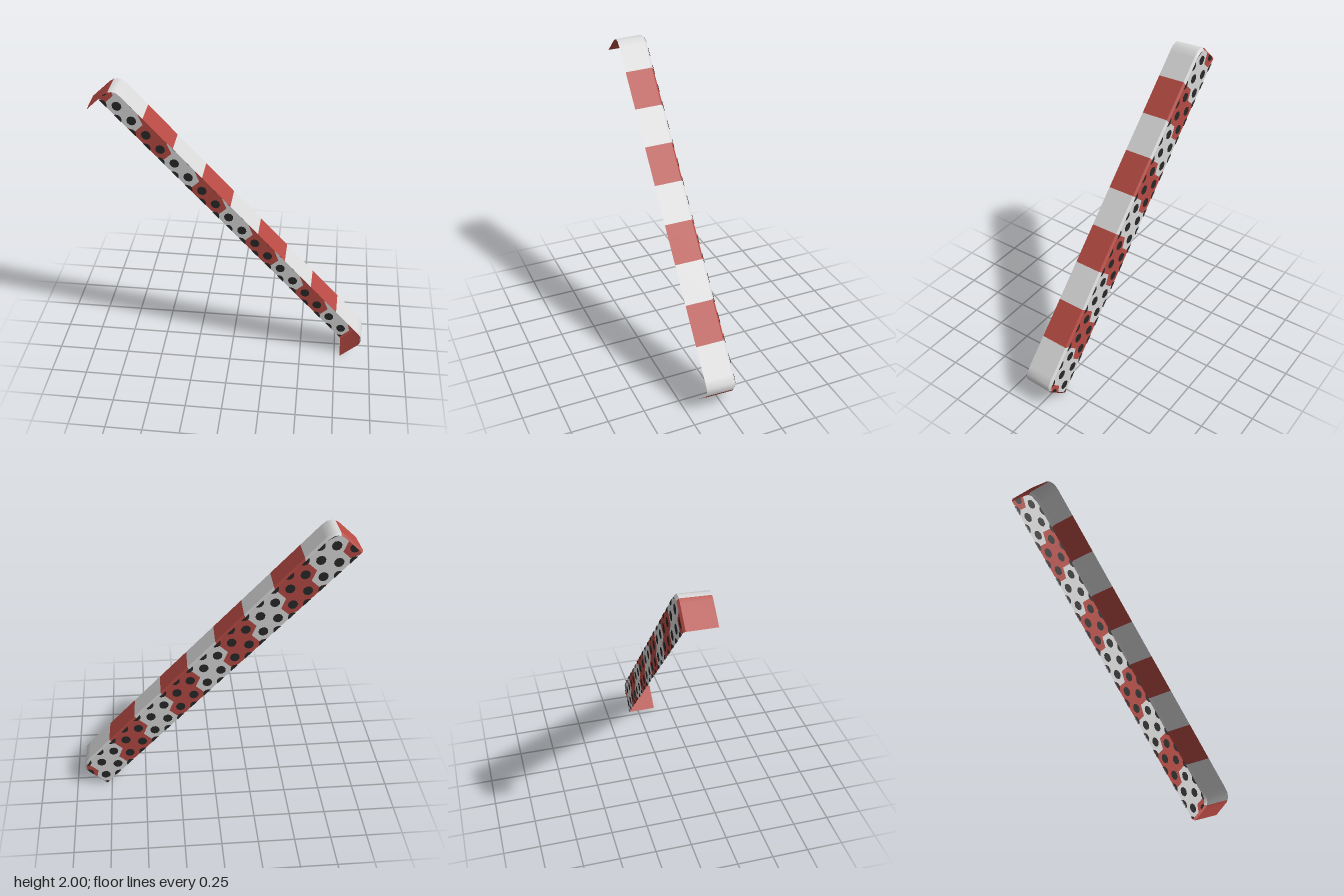
import * as THREE from 'three';
import { mergeGeometries } from 'three/addons/utils/BufferGeometryUtils.js';

// t runs down the slope, n is the height above the lower edge, w the depth from the back
const LENGTH = 2.547, HEIGHT = 0.24, DEPTH = 0.207, BAND = 0.2775, PITCH = BAND / 2;
const CORNER = [[0, 0], [0, 0.165], [0.006, 0.195], [0.02, 0.218], [0.045, 0.235], [0.085, HEIGHT]];

// Places a sloped coordinate in space; inset shrinks the outline for bevels
function place(t, n, w, inset = 0) {
  const mid = LENGTH / 2;
  const u = mid + (t - mid) * (1 - inset / mid);
  const v = n * (1 - inset / HEIGHT);
  return new THREE.Vector3(
    -0.937 + 0.679 * u + 0.734 * v,
    1.87 - 0.734 * u + 0.679 * v,
    -0.137 + 0.064 * (u / LENGTH) + w
  );
}

// Start of the rounded outline at height n
function startAt(n) {
  for (let i = 1; i < CORNER.length; i++) {
    const [t0, n0] = CORNER[i - 1], [t1, n1] = CORNER[i];
    if (n <= n1) return t0 + ((t1 - t0) * (n - n0)) / (n1 - n0);
  }
  return CORNER[CORNER.length - 1][0];
}
const clampT = (t, n) => THREE.MathUtils.clamp(t, startAt(n), LENGTH - startAt(n));

// Surface between two rows of points
function ruled(a, b) {
  const index = [], c = a.length;
  for (let i = 0; i < c - 1; i++) index.push(i, c + i, i + 1, i + 1, c + i, c + i + 1);
  const g = new THREE.BufferGeometry().setFromPoints([...a, ...b]);
  g.setIndex(index);
  g.computeVertexNormals();
  return g;
}

const BEVEL = 0.012;

// Piece of the rim: back bevel plus the broad outer face
function rimPiece(points) {
  const row = (w, inset) => points.map(([t, n]) => place(t, n, w, inset));
  return mergeGeometries([
    ruled(row(0, BEVEL), row(0.014, 0)),
    ruled(row(0.014, 0), row(DEPTH, 0.005)),
  ]);
}

// Stepped edge between two colours on the back panel
const LEVELS = [0, 0.027, 0.1, 0.13, 0.165, 0.195, 0.218, 0.235, HEIGHT];
const STEPS = [0.02, 0.075, 0.075, 0, 0, 0, 0, 0, 0];
const panelEdge = (k) =>
  LEVELS.map((n, i) => place(clampT(k * BAND + STEPS[i], n), n, 0, BEVEL));

// Dark spot trimmed to the panel outline
function spot(t, n, w) {
  const g = new THREE.CircleGeometry(0.034, 10);
  const p = g.attributes.position;
  for (let i = 0; i < p.count; i++) {
    const v = THREE.MathUtils.clamp(n + p.getY(i), 0, HEIGHT);
    const q = place(clampT(t + p.getX(i), v), v, w, BEVEL);
    p.setXYZ(i, q.x, q.y, q.z);
  }
  g.computeVertexNormals();
  return g;
}

export function createModel() {
  const group = new THREE.Group();
  const material = (name, color) =>
    new THREE.MeshStandardMaterial({ name, color, side: THREE.DoubleSide });
  const red = material('red', 0xb64a43);
  const white = material('white', 0xd8d8d8);
  const black = material('black', 0x282828);
  const add = (name, geometry, mat) => {
    const mesh = new THREE.Mesh(geometry, mat);
    mesh.name = name;
    group.add(mesh);
  };
  const mirror = (pts) => pts.map(([t, n]) => [LENGTH - t, n]).reverse();

  // Red end caps
  const cap = CORNER.slice(0, 3);
  add('upperEndCap', rimPiece(cap), red);
  add('lowerEndCap', rimPiece(mirror(cap)), red);

  // Striped top strip; the first and last white bands wrap the rounded corners
  const bend = [...CORNER.slice(2), [0.1, HEIGHT]];
  for (let k = 0; k < 9; k++) {
    let pts = [[k * BAND, HEIGHT], [(k + 1) * BAND, HEIGHT]];
    if (k === 0) pts = [...bend, pts[1]];
    if (k === 8) pts = [pts[0], ...mirror(bend)];
    add('topBand' + k, rimPiece(pts), k % 2 ? red : white);
  }

  // Back panel in alternating colours
  for (let k = -1; k <= 9; k++)
    add('panelBand' + (k + 1), ruled(panelEdge(k + 1), panelEdge(k)), k % 2 ? red : white);

  // Staggered rows of spots on both faces, cut off at the panel edges
  const rows = [[-0.008, 0.071], [0.063, 0.143], [0.166, 0.071], [0.247, 0.143]];
  const spots = [];
  for (const [n, start] of rows)
    for (let k = -1; k < 19; k++) {
      const t = start + k * PITCH * 0.995;
      if (t < -0.02 || t > LENGTH + 0.02) continue;
      for (const w of [-0.003, 0.003]) spots.push(spot(t, n, w));
    }
  add('panelSpots', mergeGeometries(spots), black);

  return group;
}
